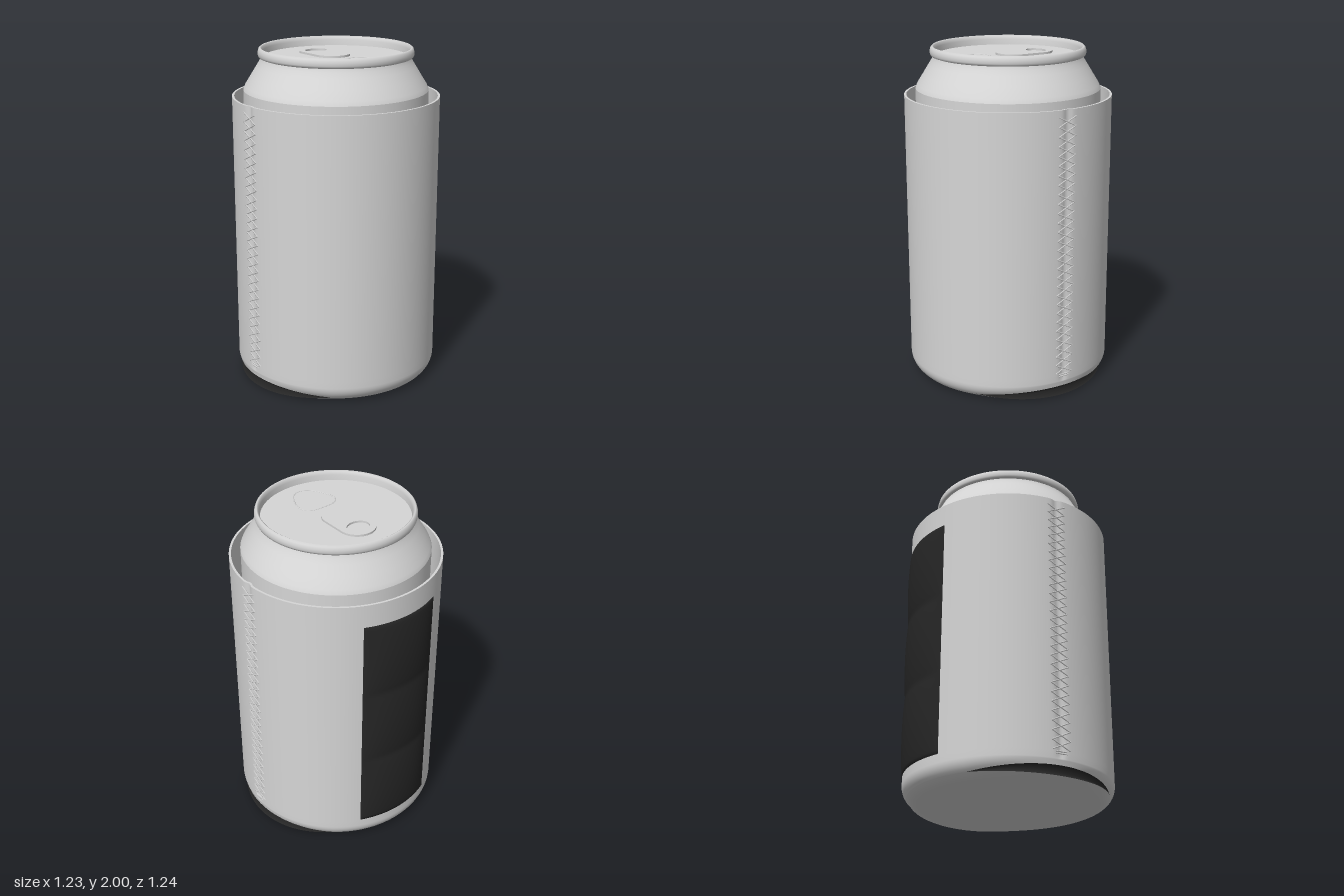
import * as THREE from 'three';
import { mergeGeometries } from 'three/addons/utils/BufferGeometryUtils.js';

const CZ = 0.012;   // z of the can axis
const R = 0.612;    // outer radius of the sleeve
const SEG = 288;

const grey = new THREE.MeshStandardMaterial({ color: 0xd6d6d6, side: THREE.DoubleSide });
grey.name = 'light grey';
const black = new THREE.MeshStandardMaterial({ color: 0x262626, side: THREE.DoubleSide });
black.name = 'charcoal';

function add(group, name, geometry, material) {
  const mesh = new THREE.Mesh(geometry, material);
  mesh.name = name;
  group.add(mesh);
  return mesh;
}

// Grid of points (u columns, v rows) turned into a smooth surface
function gridSurface(nu, nv, closed, pointAt) {
  const pos = [], index = [];
  const cols = closed ? nu : nu + 1;
  for (let i = 0; i < cols; i++)
    for (let j = 0; j <= nv; j++) pos.push(...pointAt(i, j));
  for (let i = 0; i < nu; i++)
    for (let j = 0; j < nv; j++) {
      const a = i * (nv + 1) + j;
      const b = ((i + 1) % cols) * (nv + 1) + j;
      index.push(a, b, b + 1, a, b + 1, a + 1);
    }
  const g = new THREE.BufferGeometry();
  g.setAttribute('position', new THREE.Float32BufferAttribute(pos, 3));
  g.setIndex(index);
  g.computeVertexNormals();
  return g;
}

// Sweep a profile [radius, y] that changes with the angle around the can
function loft(profile) {
  const rows = Array.from({ length: SEG }, (_, i) => profile((i / SEG) * Math.PI * 2));
  return gridSurface(SEG, rows[0].length - 1, true, (i, j) => {
    const a = (i / SEG) * Math.PI * 2, [r, y] = rows[i][j];
    return [r * Math.sin(a), y, CZ + r * Math.cos(a)];
  });
}

const lathe = (pts) =>
  new THREE.LatheGeometry(pts.map(([x, y]) => new THREE.Vector2(x, y)), 96).translate(0, 0, CZ);

const mix = (p, q, t) => [p[0] + (q[0] - p[0]) * t, p[1] + (q[1] - p[1]) * t];

// How far the side gusset is open at an angle, and how deep the side seam dips
const gap = (a) => Math.max(0, 1 - (R * Math.cos(a) / 0.47) ** 2);
const dent = (a) => 0.012 * Math.exp(-((R * Math.cos(a) / 0.022) ** 2));

// Rounded bottom corner, t from 0 (floor) to 1 (wall)
const corner = (t) => [
  R - 0.1 + 0.1 * Math.sin(t * Math.PI / 2), 0.1 - 0.1 * Math.cos(t * Math.PI / 2)];
const lowerEdge = (a, t) => mix(corner(t / 2), mix([0.512, 0], [0.606, 0.008], t), gap(a));
const upperEdge = (a, t) => mix(corner(0.5 + t / 2), mix([0.605, 0.066], [R, 0.1], t), gap(a));
const steps = [0, 0.2, 0.4, 0.6, 0.8, 1];

function buildSleeve() {
  const g = new THREE.Group();
  g.name = 'sleeve';
  add(g, 'sleeveBase', loft((a) =>
    [[0, 0], [0.3, 0], [0.5, 0], ...steps.map((t) => lowerEdge(a, t))]), grey);
  add(g, 'sideGussets', loft((a) => {
    const lo = lowerEdge(a, 1), hi = upperEdge(a, 0);
    return [lo, mix(lo, [0.575, 0.036], Math.min(1, gap(a) * 2)), hi];
  }), black);
  add(g, 'sleeveWall', loft((a) => [
    ...steps.map((t) => upperEdge(a, t)),
    [R - dent(a), 0.14], [R - dent(a), 0.9], [R - dent(a), 1.72]]), grey);
  add(g, 'sleeveRim', loft((a) => [[R - dent(a), 1.72], [R - 0.013 - dent(a), 1.72]]), grey);
  add(g, 'sleeveLining', loft((a) =>
    [[R - 0.013 - dent(a), 1.72], [R - 0.013 - dent(a), 0.1]]), grey);
  return g;
}

// Crossed stitches down a side seam
function buildStitches(side) {
  const parts = [];
  const thread = (z0, y0, z1, y1) => {
    const curve = new THREE.LineCurve3(
      new THREE.Vector3(side * 0.6105, y0, CZ + z0), new THREE.Vector3(side * 0.6105, y1, CZ + z1));
    parts.push(new THREE.TubeGeometry(curve, 1, 0.004, 5));
  };
  const count = 28, pitch = 1.53 / count;
  for (let i = 0; i < count; i++) {
    const y = 0.15 + i * pitch;
    thread(-0.056, y, 0.056, y + pitch);
    thread(0.056, y, -0.056, y + pitch);
  }
  for (const y of [0.13, 0.142]) thread(-0.035, y, 0.035, y);
  return mergeGeometries(parts);
}

// Three padded cushions on the back
function buildPad() {
  const nu = 32, nv = 72, y0 = 0.15, y1 = 1.58;
  return gridSurface(nu, nv, false, (i, j) => {
    const u = Math.min(1, Math.max(-1, ((i - 1) / (nu - 2)) * 2 - 1));
    const v = Math.min(1, Math.max(0, (j - 1) / (nv - 2)));
    const border = i === 0 || i === nu || j === 0 || j === nv;
    const puff = Math.abs(Math.sin(v * Math.PI * 3)) ** 0.7;
    const r = border ? R - 0.006 : R + 0.003 + 0.017 * puff * (1 - u ** 4);
    const x = -0.25 * u;
    return [x, y0 + (y1 - y0) * v, CZ - Math.sqrt(r * r - x * x)];
  });
}

function buildCan() {
  const g = new THREE.Group();
  g.name = 'can';
  add(g, 'canBody', lathe([[0.545, 0.01], [0.545, 1.755]]), grey);
  add(g, 'canShoulder', lathe([[0.545, 1.755], [0.535, 1.78], [0.5, 1.836], [0.465, 1.893],
    [0.447, 1.922], [0.44, 1.942]]), grey);
  add(g, 'canRim', lathe([[0.44, 1.942], [0.452, 1.946], [0.457, 1.958], [0.457, 1.975],
    [0.452, 1.992], [0.443, 2], [0.434, 1.994], [0.429, 1.975], [0.426, 1.943]]), grey);
  add(g, 'lid', lathe([[0.43, 1.943], [0, 1.943]]), grey);

  // Pull tab with a finger hole
  const tab = new THREE.Shape();
  tab.absarc(0, 0.173, 0.107, 0, Math.PI);
  tab.absarc(0, 0.027, 0.107, Math.PI, Math.PI * 2);
  tab.closePath();
  const hole = new THREE.Path();
  hole.absellipse(0, 0.185, 0.069, 0.055, 0, Math.PI * 2, true);
  tab.holes.push(hole);
  const tabGeo = new THREE.ExtrudeGeometry(tab, { depth: 0.012, bevelEnabled: false, curveSegments: 24 });
  add(g, 'pullTab', tabGeo.rotateX(-Math.PI / 2).translate(0, 1.943, 0), grey);

  // Scored outline of the mouth opening
  const outline = [[0, 0.123], [0.075, 0.13], [0.112, 0.16], [0.117, 0.21], [0.085, 0.295],
    [0.045, 0.345], [0, 0.36]];
  const loop = [...outline, ...outline.slice(1, -1).reverse().map(([x, z]) => [-x, z])];
  const curve = new THREE.CatmullRomCurve3(
    loop.map(([x, z]) => new THREE.Vector3(x, 1.943, z)), true);
  add(g, 'mouthScore', new THREE.TubeGeometry(curve, 72, 0.004, 6, true), grey);
  return g;
}

export function createModel() {
  const model = new THREE.Group();
  model.name = 'canInSleeve';
  model.add(buildCan(), buildSleeve());
  add(model, 'leftStitches', buildStitches(1), grey);
  add(model, 'rightStitches', buildStitches(-1), grey);
  add(model, 'backPad', buildPad(), black);
  return model;
}
